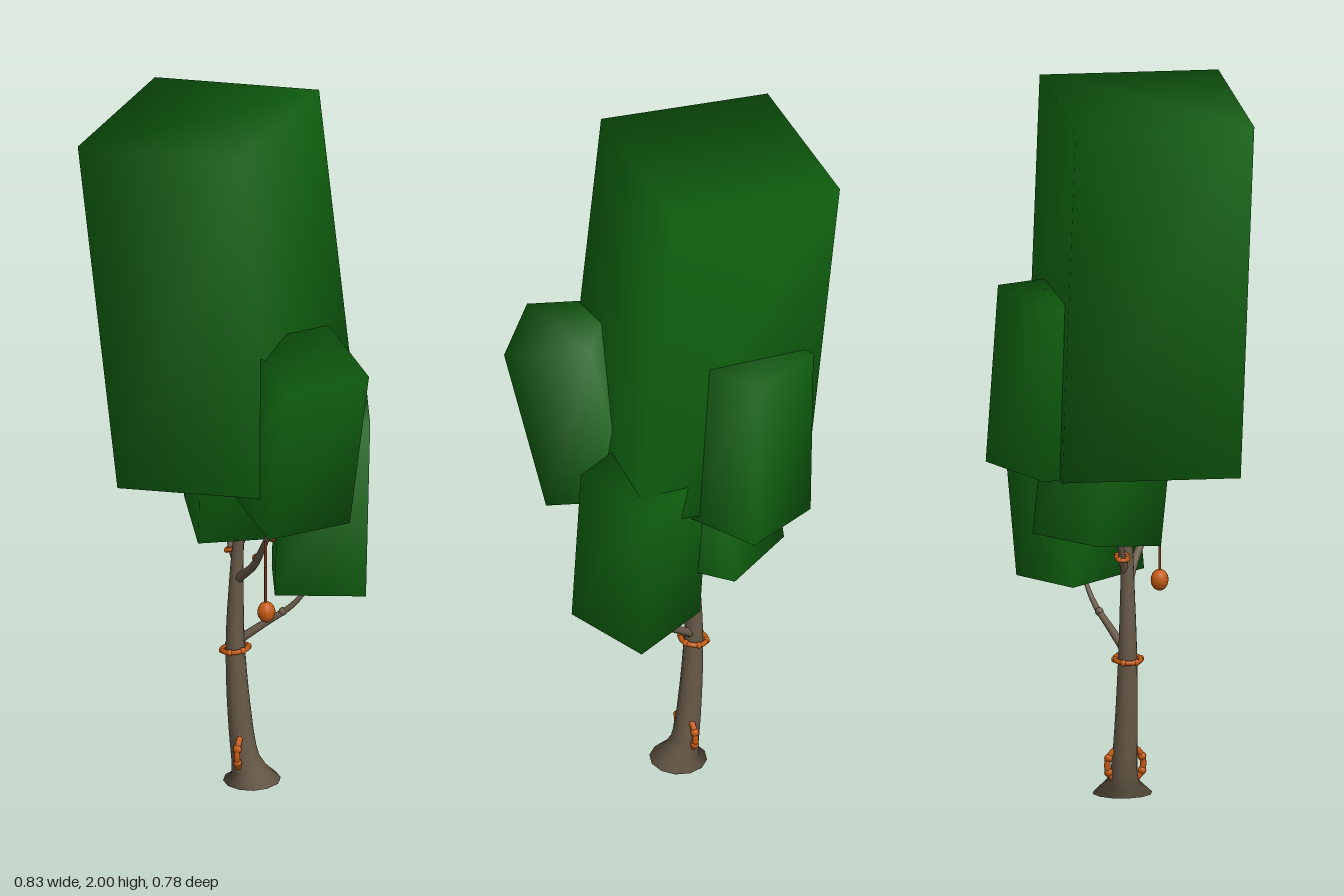
import * as THREE from 'three';
import { mergeVertices } from 'three/addons/utils/BufferGeometryUtils.js';

const V = (x, y, z) => new THREE.Vector3(x, y, z);

export function createModel() {
  const model = new THREE.Group();
  const leafGreen = new THREE.MeshStandardMaterial({ color: 0x106410 });
  const barkBrown = new THREE.MeshStandardMaterial({ color: 0x685a48 });
  const orange = new THREE.MeshStandardMaterial({ color: 0xc45a10 });
  const cordBrown = new THREE.MeshStandardMaterial({ color: 0x7a3a1c });
  leafGreen.name = 'leafGreen';
  barkBrown.name = 'barkBrown';
  orange.name = 'orange';
  cordBrown.name = 'cordBrown';

  const add = (name, geometry, material, parent = model) => {
    const mesh = new THREE.Mesh(geometry, material);
    mesh.name = name;
    parent.add(mesh);
    return mesh;
  };

  // Foliage block: smooth shaded box, leaning along "up" and turned so its side follows "side"
  const block = (name, w, h, center, up, side) => {
    let g = new THREE.BoxGeometry(w, h, w);
    g.deleteAttribute('normal');
    g.deleteAttribute('uv');
    g = mergeVertices(g);
    g.computeVertexNormals();
    const y = up.clone().normalize();
    const x = side.clone().addScaledVector(y, -side.dot(y)).normalize();
    const z = x.clone().cross(y);
    const mesh = add(name, g, leafGreen);
    mesh.quaternion.setFromRotationMatrix(new THREE.Matrix4().makeBasis(x, y, z));
    mesh.position.copy(center);
  };

  block('crownFoliage', 0.5, 1.015, V(-0.112, 1.465, 0.037), V(-0.113, 1.01, 0.015), V(1, 0, 0));
  block('frontLeftFoliage', 0.25, 0.5, V(0.196, 1.148, 0.176), V(0.186, 0.97, 0.15), V(-0.615, 0, 0.79));
  block('lowLeftFoliage', 0.25, 0.5, V(0.134, 0.838, -0.102), V(-0.008, 0.5, -0.045), V(0.45, 0, 0.89));
  block('backFoliage', 0.25, 0.5, V(-0.143, 1.195, -0.205), V(-0.022, 0.5, 0.03), V(-0.88, 0, 0.48));
  block('lowRightFoliage', 0.25, 0.5, V(-0.095, 0.98, -0.056), V(0.04, 0.495, 0.058), V(0.83, 0, -0.56));

  // Tapered limb: a tube whose rings are rescaled along the path
  const limb = (name, points, radius, rows = 10, sides = 10) => {
    const path = new THREE.CatmullRomCurve3(points);
    const g = new THREE.TubeGeometry(path, rows, 1, sides);
    const pos = g.attributes.position;
    const p = new THREE.Vector3();
    for (let i = 0; i <= rows; i++) {
      const c = path.getPointAt(i / rows);
      for (let j = 0; j <= sides; j++) {
        const k = i * (sides + 1) + j;
        p.fromBufferAttribute(pos, k).sub(c).multiplyScalar(radius(i / rows)).add(c);
        if (c.y < 0.001) p.y = 0;
        pos.setXYZ(k, p.x, p.y, p.z);
      }
    }
    return add(name, g, barkBrown);
  };

  // Trunk with flared foot
  limb('trunk', [
    V(-0.025, 0, 0.005), V(-0.045, 0.06, 0.005), V(-0.062, 0.2, 0.008), V(-0.073, 0.4, 0.01),
    V(-0.071, 0.55, 0.01), V(-0.062, 0.72, 0.01), V(-0.038, 0.89, 0.005),
  ], t => 0.004 + 0.034 * Math.pow(1 - t, 0.7) + 0.045 * Math.exp(-t * 40), 28, 12);
  const foot = add('trunkUnderside', new THREE.CircleGeometry(0.082, 12), barkBrown);
  foot.rotation.x = Math.PI / 2;
  foot.position.set(-0.025, 0.001, 0.005);

  // Branches leading into the foliage
  const thin = t => 0.013 - 0.008 * t;
  limb('lowLeftBranch', [V(-0.07, 0.405, 0.005), V(0, 0.46, -0.025), V(0.07, 0.515, -0.055), V(0.13, 0.6, -0.08)], thin);
  limb('frontLeftBranch', [V(-0.06, 0.6, 0.015), V(0, 0.66, 0.05), V(0.06, 0.76, 0.105), V(0.13, 0.9, 0.15)], thin);
  limb('lowRightBranch', [V(-0.065, 0.62, 0.005), V(-0.095, 0.68, -0.01), V(-0.125, 0.76, -0.03)], thin);
  limb('backBranch', [V(-0.06, 0.7, 0.005), V(-0.08, 0.8, -0.08), V(-0.12, 0.97, -0.17)], thin);

  // Small knots on the branches
  const knots = [[0.045, 0.495, -0.045, barkBrown], [0.017, 0.695, 0.067, cordBrown], [0.09, 0.79, 0.12, cordBrown]];
  for (const [x, y, z, material] of knots) {
    add('branchKnot', new THREE.SphereGeometry(0.012, 8, 6), material).position.set(x, y, z);
  }

  // Orange rings with bumps around the rim
  const ring = (name, radius, tube, bumps, position, rotation) => {
    const group = new THREE.Group();
    group.name = name;
    add('band', new THREE.TorusGeometry(radius, tube, 8, 24), orange, group);
    for (let i = 0; i < bumps; i++) {
      const a = (i + 0.5) / bumps * Math.PI * 2;
      add('bump', new THREE.SphereGeometry(tube * 1.4, 8, 6), orange, group)
        .position.set(Math.cos(a) * radius, Math.sin(a) * radius, 0);
    }
    group.position.set(...position);
    group.rotation.set(...rotation);
    model.add(group);
  };
  ring('trunkRing', 0.036, 0.007, 6, [-0.073, 0.385, 0.01], [Math.PI / 2, 0.14, 0]);
  ring('footRing', 0.052, 0.009, 8, [-0.05, 0.085, 0.008], [0, Math.PI / 2 + 0.1, 0]);
  ring('branchRing', 0.016, 0.006, 4, [-0.092, 0.675, -0.009], [Math.PI / 2, 0.4, 0]);

  // Hanging ornament
  add('ornamentCord', new THREE.CylinderGeometry(0.004, 0.004, 0.19, 6), cordBrown).position.set(0.075, 0.685, 0.13);
  const ornament = add('ornament', new THREE.SphereGeometry(0.025, 12, 10), orange);
  ornament.scale.y = 1.2;
  ornament.position.set(0.077, 0.57, 0.13);

  return model;
}
